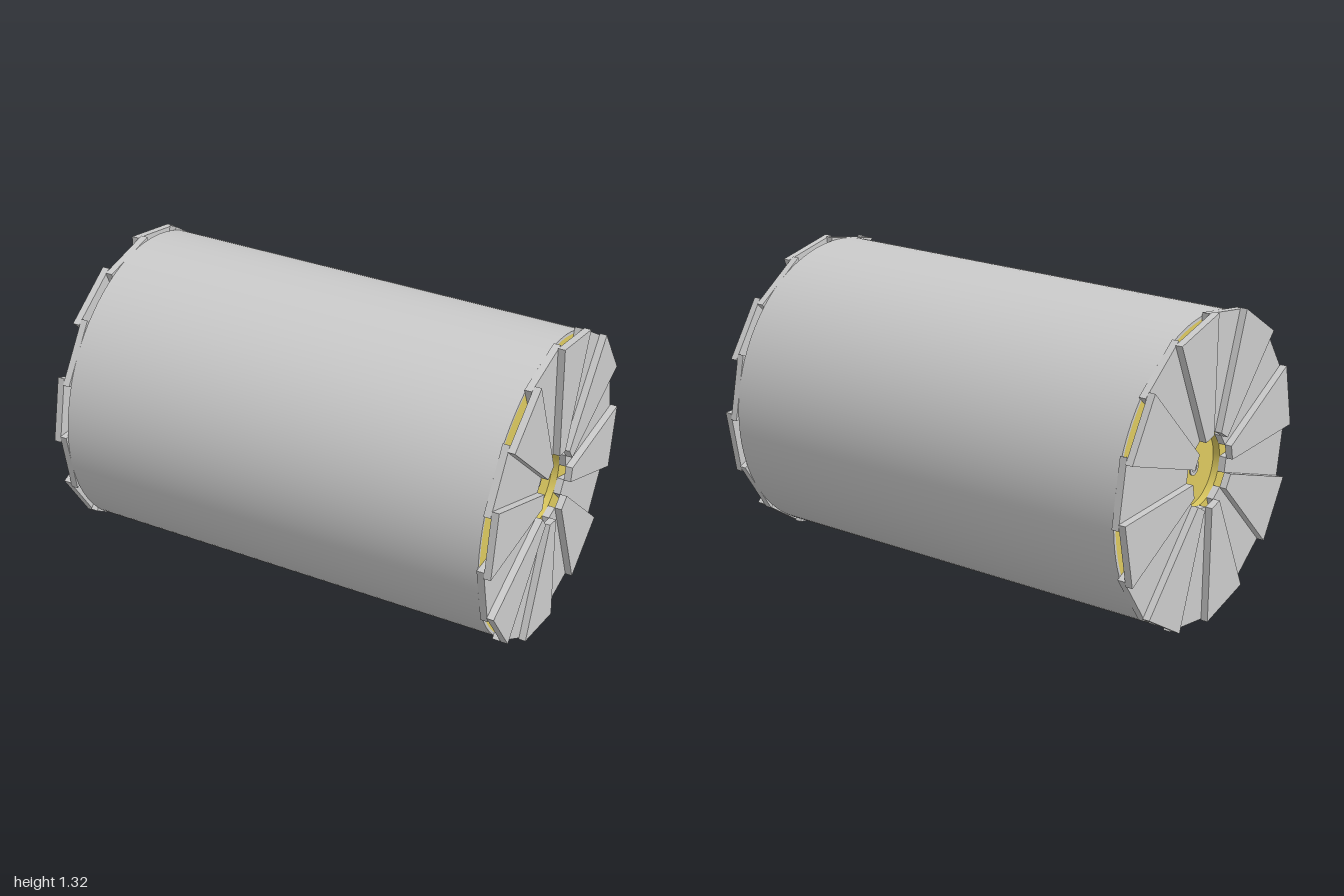
import * as THREE from 'three';
import { toCreasedNormals } from 'three/addons/utils/BufferGeometryUtils.js';

const AXIS_Y = 0.66;
const DEG = Math.PI / 180;
const grey = new THREE.MeshStandardMaterial({ color: 0xcccccc });
const yellow = new THREE.MeshStandardMaterial({ color: 0xdcc95f });

// Closed [radius, x] profile turned around the x axis, counter-clockwise
function turned(name, profile, material, segments = 96) {
  const points = profile.map(([r, x]) => new THREE.Vector2(r, x));
  points.push(points[0].clone());
  const geometry = toCreasedNormals(new THREE.LatheGeometry(points, segments), 40 * DEG);
  geometry.rotateZ(-Math.PI / 2);
  const mesh = new THREE.Mesh(geometry, material);
  mesh.name = name;
  return mesh;
}

// Hollow pipe along x, from -half to +half
const pipe = (name, outer, inner, half, segments) =>
  turned(name, [[inner, -half], [outer, -half], [outer, half], [inner, half]], grey, segments);

// Straight-sided plate; angles run clockwise from the top as seen from +x
function wedge(name, middle, x, thickness) {
  const corner = (r, halfAngle) => {
    const a = (middle + halfAngle) * DEG;
    return new THREE.Vector2(r * Math.sin(a), r * Math.cos(a));
  };
  const shape = new THREE.Shape([
    corner(0.158, -11.6), corner(0.66, -12.45), corner(0.66, 12.45), corner(0.158, 11.6),
  ]);
  const geometry = new THREE.ExtrudeGeometry(shape, { depth: thickness, bevelEnabled: false });
  geometry.rotateY(Math.PI / 2).translate(x, 0, 0);
  const mesh = new THREE.Mesh(geometry, grey);
  mesh.name = name;
  return mesh;
}

// Two staggered layers of eight plates
function wedgeRing(name, outerMiddle, innerMiddle, outerX, innerX) {
  const ring = new THREE.Group();
  ring.name = name;
  for (let i = 0; i < 8; i++) {
    ring.add(wedge('outerWedge', outerMiddle + i * 45, outerX, 0.03));
    ring.add(wedge('innerWedge', innerMiddle + i * 45, innerX, 0.03));
  }
  return ring;
}

export function createModel() {
  const model = new THREE.Group();
  model.name = 'drum';
  const rotor = new THREE.Group();
  rotor.name = 'rotor';
  rotor.position.y = AXIS_Y;
  model.add(rotor);

  // Drum shell and hollow axle
  rotor.add(pipe('drumShell', 0.645, 0.632, 0.94, 128));
  rotor.add(pipe('axleTube', 0.033, 0.018, 0.915, 32));

  // End caps, recessed around the axle
  const capProfile = [
    [0.032, 0.88], [0.632, 0.88], [0.632, 0.939], [0.159, 0.939], [0.159, 0.91], [0.032, 0.91],
  ];
  for (const side of [1, -1]) {
    const cap = turned(side > 0 ? 'leftCap' : 'rightCap', capProfile, yellow);
    if (side < 0) cap.rotation.y = Math.PI;
    rotor.add(cap);
  }

  // Segmented plates on both ends
  rotor.add(wedgeRing('leftWedges', 9.95, 32.45, 0.97, 0.94));
  rotor.add(wedgeRing('rightWedges', 12.55, 35.05, -1, -0.97));
  return model;
}
